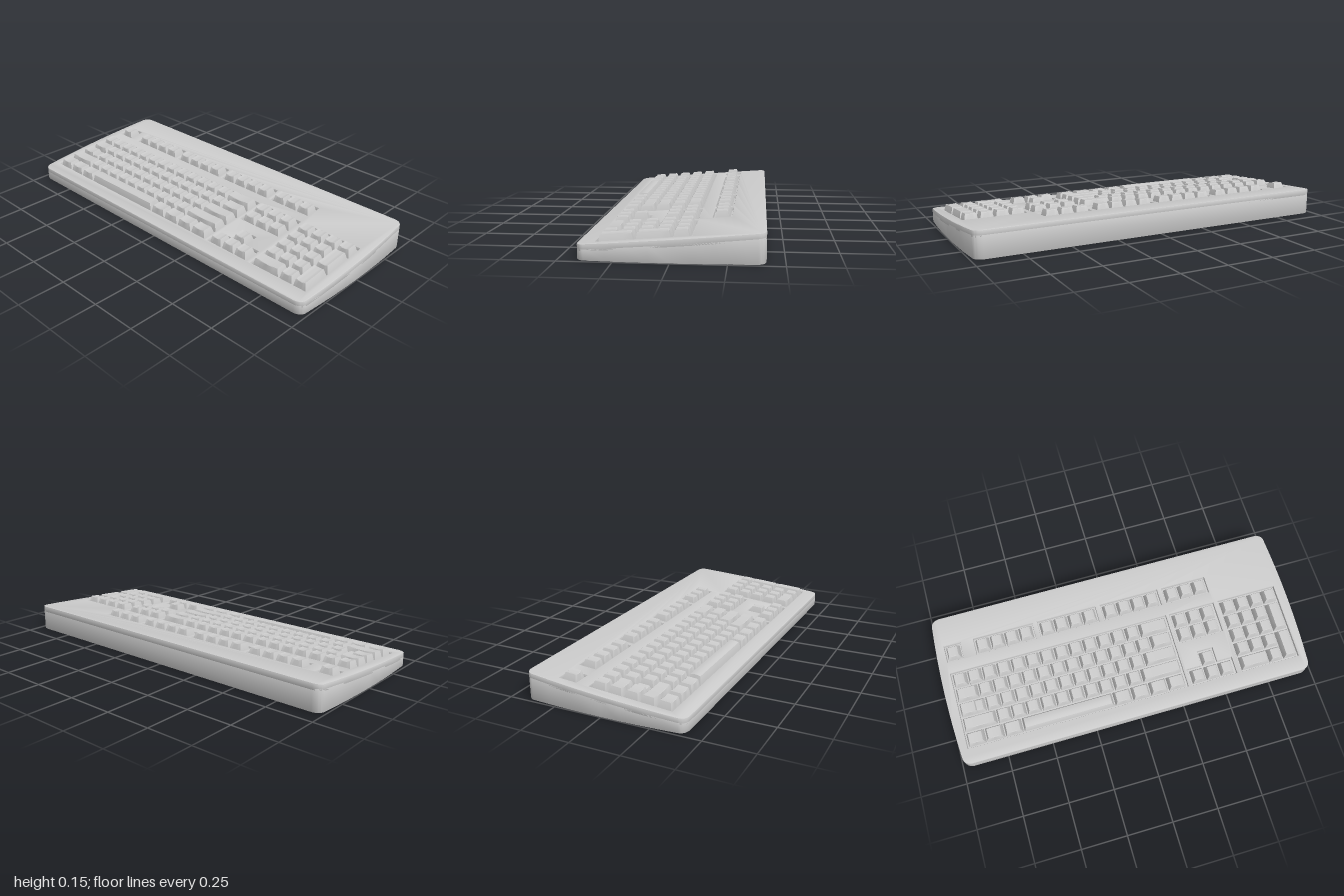
import * as THREE from 'three';
import { toCreasedNormals } from 'three/addons/utils/BufferGeometryUtils.js';

const U = 0.082;          // key pitch across
const ROW = 0.0835;       // key pitch in depth
const SLOPE = 0.082;      // rise of the deck towards the back
const MID = 0.106;        // deck height at z = 0
const WELL = 0.02;        // depth of the key wells
const BEVEL = 0.004;
const Z0 = -0.047;        // centre of the number row
const ZTOP = -0.206;      // centre of the separate top row

const grey = new THREE.MeshStandardMaterial({ color: 0xcccccc });

// Case footprint: bowed sides, rounded corners
function outline() {
  const s = new THREE.Shape();
  s.moveTo(-0.94, -0.417);
  s.lineTo(0.94, -0.417);
  s.quadraticCurveTo(0.98, -0.412, 0.985, -0.38);
  s.quadraticCurveTo(1.015, 0, 0.985, 0.38);
  s.quadraticCurveTo(0.98, 0.412, 0.94, 0.417);
  s.lineTo(-0.94, 0.417);
  s.quadraticCurveTo(-0.98, 0.412, -0.985, 0.38);
  s.quadraticCurveTo(-1.015, 0, -0.985, -0.38);
  s.quadraticCurveTo(-0.98, -0.412, -0.94, -0.417);
  return s;
}

// Hole from [x, z] corners
const hole = pts => new THREE.Path(pts.map(([x, z]) => new THREE.Vector2(x, -z)));
const rectHole = (x0, x1, z0, z1) => hole([[x0, z0], [x0, z1], [x1, z1], [x1, z0]]);

// Upright slab from y0 to y1; vertices above `fixed` follow the deck slope
function slab(shape, y0, y1, fixed) {
  const g = new THREE.ExtrudeGeometry(shape, {
    depth: y1 - y0 - 2 * BEVEL, bevelEnabled: true, bevelSegments: 2, curveSegments: 8,
    bevelSize: BEVEL, bevelThickness: BEVEL, bevelOffset: -BEVEL,
  });
  g.rotateX(-Math.PI / 2).translate(0, y0 + BEVEL, 0);
  const p = g.attributes.position;
  for (let i = 0; i < p.count; i++) {
    if (p.getY(i) > fixed) p.setY(i, p.getY(i) - SLOPE * p.getZ(i));
  }
  return toCreasedNormals(g, 0.6);
}

// Tapered keycap: dished across the width, or domed front to back
function keyGeometry(w, d, h, domed) {
  const g = new THREE.BoxGeometry(w, h, d, 6, 2, 4);
  g.translate(0, h / 2, 0);
  const p = g.attributes.position;
  const levels = [0, 0.9, 1], insets = [0, 0.0095, 0.012];
  for (let i = 0; i < p.count; i++) {
    const level = Math.round(p.getY(i) / h * 2);
    const u = p.getX(i) / (w / 2), v = p.getZ(i) / (d / 2);
    let y = levels[level] * h;
    if (level === 2) y += domed ? 0.004 * (1 - v * v) : -0.003 * (1 - u * u);
    p.setXYZ(i, u * (w / 2 - insets[level]), y, v * (d / 2 - insets[level]));
  }
  return toCreasedNormals(g, 0.5);
}

export function createModel() {
  const model = new THREE.Group();
  model.name = 'keyboard';

  const add = (name, geometry, parent = model) => {
    const m = new THREE.Mesh(geometry, grey);
    m.name = name;
    parent.add(m);
    return m;
  };

  // Lower case, whose top is the floor of the wells
  add('caseBase', slab(outline(), 0, MID - WELL, 0.02));

  // Deck with key wells
  const deck = outline();
  const zt = -0.093, zb = 0.334;
  deck.holes.push(
    rectHole(-0.945, 0.297, zt, zb),
    rectHole(0.316, 0.58, zt, 0.083),
    rectHole(0.608, 0.945, zt, zb),
    hole([[0.316, 0.24], [0.316, zb], [0.58, zb], [0.58, 0.24],
      [0.493, 0.24], [0.493, 0.157], [0.403, 0.157], [0.403, 0.24]]),
  );
  const topBlocks = [[-0.94, 1], [-0.774, 4], [-0.407, 4], [-0.04, 4], [0.325, 3]];
  for (const [x, n] of topBlocks) {
    deck.holes.push(rectHole(x - 0.005, x + n * U + 0.005, ZTOP - 0.047, ZTOP + 0.047));
  }
  add('deck', slab(deck, MID - 0.036, MID, -1));

  // Keys: x is the left edge, z the centre, sizes in key units
  const keys = new THREE.Group();
  keys.name = 'keys';
  model.add(keys);
  const cache = {};
  function key(name, x, z, w = 1, d = 1, h = 0.046, domed = false) {
    const id = [w, d, h, domed].join();
    cache[id] ??= keyGeometry(w * U - 0.006, d * ROW - 0.008, h, domed);
    const m = add(name, cache[id], keys);
    m.position.set(x + w * U / 2, MID - WELL - SLOPE * z, z);
    m.rotation.x = Math.atan(SLOPE);
  }
  function row(name, x, z, widths) {
    for (const w of widths) {
      if (w > 3) key('spaceBar', x, z, w, 1, 0.046, true);
      else if (w === 1.75) {
        // Stepped key: low shelf with a raised left part
        key('steppedKeyShelf', x, z, w, 1, 0.034);
        key('steppedKeyTop', x, z, 1.25);
      } else key(name, x, z, w);
      x += w * U;
    }
  }
  const ones = n => Array(n).fill(1);
  const rowZ = i => Z0 + i * ROW;

  // Separate top row
  for (const [x, n] of topBlocks) row('topRowKey', x, ZTOP, ones(n));

  // Main block
  row('numberRowKey', -0.94, rowZ(0), [...ones(13), 2]);
  row('upperRowKey', -0.94, rowZ(1), [1.5, ...ones(12), 1.5]);
  row('homeRowKey', -0.94, rowZ(2), [1.75, ...ones(11), 2.25]);
  row('lowerRowKey', -0.94, rowZ(3), [2.25, ...ones(10), 2.75]);
  row('bottomRowKey', -0.94, rowZ(4), [1.25, 1.25, 1.25, 6.25, 1.25, 1.25, 1.25, 1.25]);

  // Navigation and arrow keys
  for (const i of [0, 1]) row('navigationKey', 0.325, rowZ(i), ones(3));
  key('arrowKey', 0.325 + U, rowZ(3));
  row('arrowKey', 0.325, rowZ(4), ones(3));

  // Number pad with two tall keys on its right edge
  const px = 0.6125;
  row('padKey', px, rowZ(0), ones(4));
  for (const i of [1, 2, 3]) row('padKey', px, rowZ(i), ones(3));
  row('padKey', px, rowZ(4), [2, 1]);
  for (const i of [1.5, 3.5]) key('tallPadKey', px + 3 * U, rowZ(i), 1, 2);

  return model;
}
